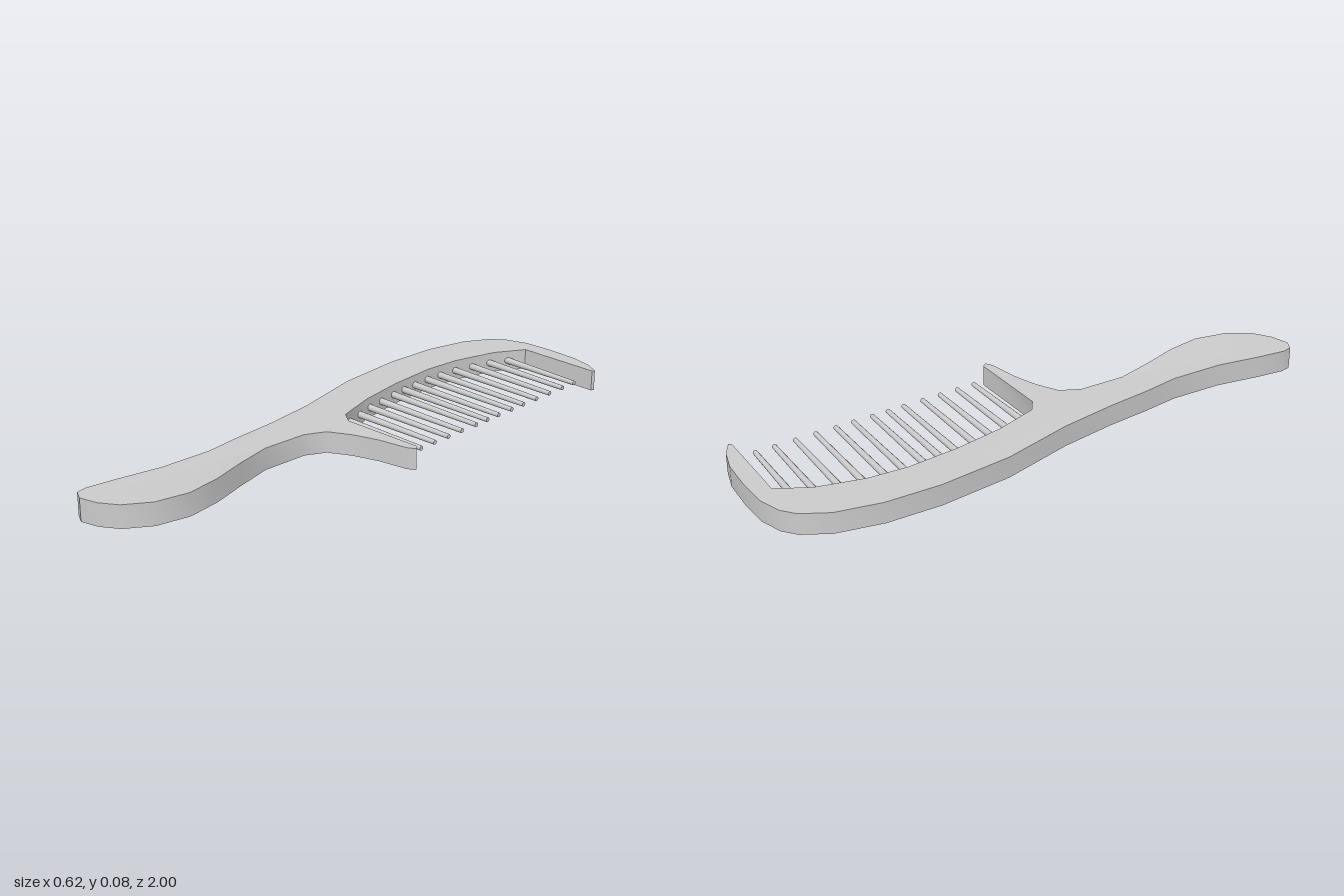
import * as THREE from 'three';
import { toCreasedNormals } from 'three/addons/utils/BufferGeometryUtils.js';

const THICKNESS = 0.078;
const MID = THICKNESS / 2;

// Inner edge of the spine, running from the handle guard to the head (x, z)
const INNER = [
  [-0.055, -0.02], [-0.108, -0.17], [-0.145, -0.344], [-0.167, -0.53],
  [-0.161, -0.667], [-0.124, -0.83], [-0.066, -0.937],
];

// Full outline seen from above (x, z)
const OUTLINE = [
  // head and outer back
  [0.245, -0.937], [0.25, -0.947], [0.2, -0.975], [0.12, -0.995], [0, -1], [-0.11, -0.995],
  [-0.19, -0.968], [-0.235, -0.93], [-0.283, -0.84], [-0.312, -0.683], [-0.312, -0.492],
  [-0.278, -0.238], [-0.204, 0.016], [-0.167, 0.212], [-0.145, 0.376], [-0.122, 0.503],
  // handle
  [-0.122, 0.688], [-0.145, 0.847], [-0.155, 0.947], [-0.146, 0.982], [-0.108, 1],
  [-0.045, 0.982], [0.013, 0.942], [0.066, 0.857], [0.085, 0.741], [0.062, 0.619],
  [0.019, 0.492], [-0.019, 0.36], [-0.019, 0.196], [0.013, 0.127],
  // guard prong
  [0.087, 0.085], [0.177, 0.053], [0.283, 0.032], [0.31, 0.016], [0.294, 0],
  [-0.008, 0.011], ...INNER,
];

// Spine position at a given z, by linear interpolation along the inner edge
function innerX(z) {
  for (let i = 1; i < INNER.length; i++) {
    const [x0, z0] = INNER[i - 1], [x1, z1] = INNER[i];
    if (z >= z1) return x0 + (x1 - x0) * (z - z0) / (z1 - z0);
  }
  return INNER[INNER.length - 1][0];
}

export function createModel() {
  const comb = new THREE.Group();
  comb.name = 'comb';
  const material = new THREE.MeshStandardMaterial({ color: 0xcccccc });

  // Flat body: spine, head, guard and handle in one plate
  const shape = new THREE.Shape(OUTLINE.map(([x, z]) => new THREE.Vector2(x, z)));
  let plate = new THREE.ExtrudeGeometry(shape, { depth: THICKNESS, bevelEnabled: false });
  plate.rotateX(Math.PI / 2).translate(0, THICKNESS, 0);

  // The plate is very slightly thicker at the handle
  const pos = plate.attributes.position;
  for (let i = 0; i < pos.count; i++) {
    const k = 0.94 + 0.06 * THREE.MathUtils.smoothstep(pos.getZ(i), 0.2, 0.6);
    pos.setY(i, MID + (pos.getY(i) - MID) * k);
  }
  plate = toCreasedNormals(plate, 0.7);
  const body = new THREE.Mesh(plate, material);
  body.name = 'body';
  comb.add(body);

  // Tapered round teeth, fanning very slightly
  const baseZ = [-0.878, -0.81, -0.735, -0.661, -0.587, -0.521, -0.45, -0.389, -0.328, -0.254, -0.185, -0.116, -0.048];
  const teeth = new THREE.Group();
  teeth.name = 'teeth';
  baseZ.forEach((z, i) => {
    const t = i / (baseZ.length - 1);
    const base = new THREE.Vector3(innerX(z) - 0.02, MID, z);
    const tip = new THREE.Vector3(0.218 + 0.04 * t, MID, z + 0.005 - 0.017 * t);
    const dir = tip.clone().sub(base);
    const tooth = new THREE.Mesh(new THREE.CylinderGeometry(0.008, 0.012, dir.length(), 12), material);
    tooth.position.copy(base).add(tip).multiplyScalar(0.5);
    tooth.quaternion.setFromUnitVectors(new THREE.Vector3(0, 1, 0), dir.normalize());
    tooth.name = `tooth${i + 1}`;
    teeth.add(tooth);
  });
  comb.add(teeth);

  return comb;
}
